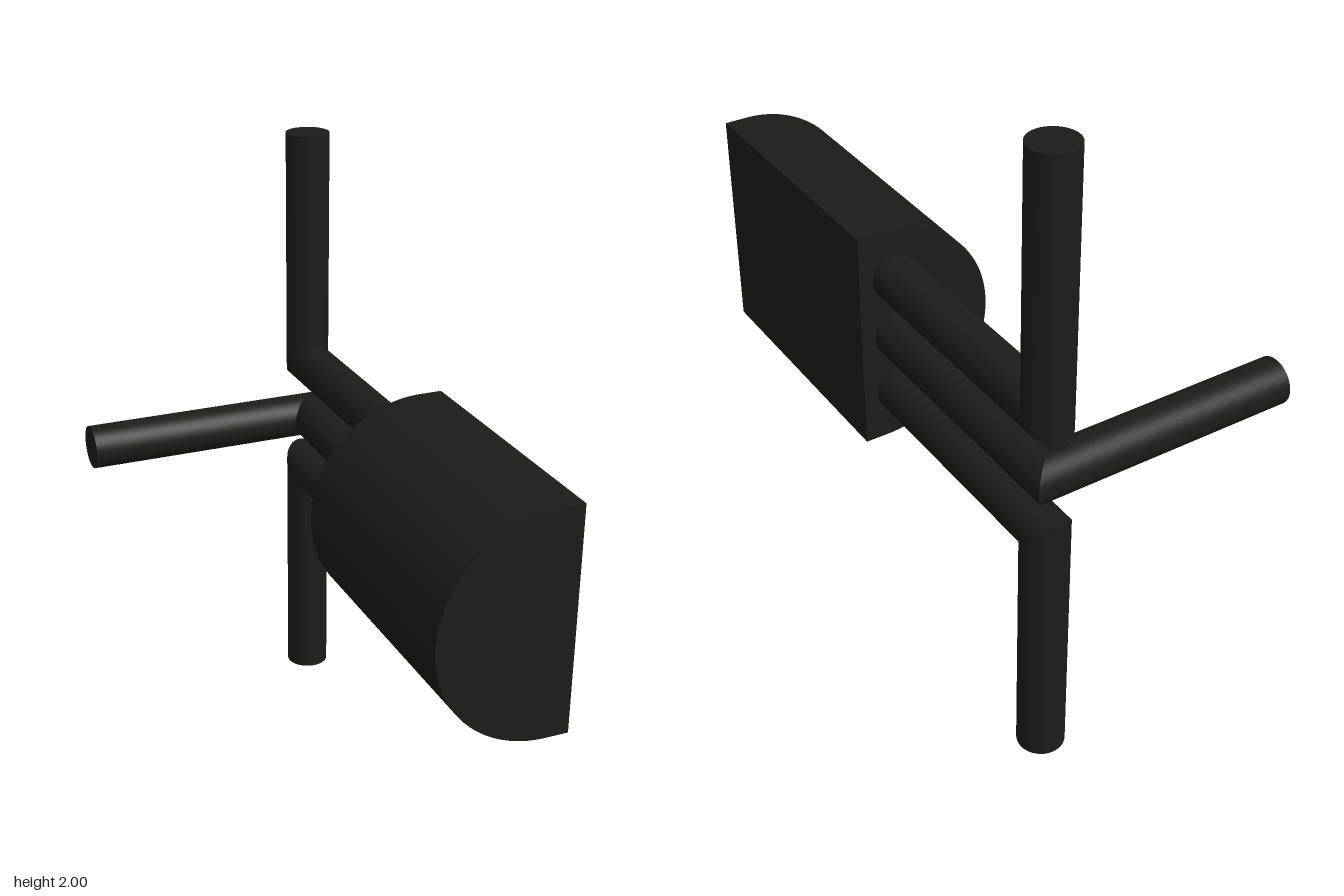
import * as THREE from 'three';
import { mergeGeometries, toCreasedNormals } from 'three/addons/utils/BufferGeometryUtils.js';

const R = 0.0725;   // wire radius
const RUN = 0.7975; // distance from body to bend
const LEG_X = 0.3375;

// Wire running back along -z, mitred at 45 degrees into an arm along +y
function bentWire(armLength) {
  const run = new THREE.CylinderGeometry(R, R, RUN, 40, 1, true);
  run.rotateX(-Math.PI / 2).translate(0, 0, -RUN / 2);
  const p = run.attributes.position;
  for (let i = 0; i < p.count; i++) {
    if (p.getZ(i) < -RUN / 2) p.setZ(i, -RUN + p.getY(i));
  }

  const arm = new THREE.CylinderGeometry(R, R, armLength, 40, 1, true);
  arm.translate(0, armLength / 2, -RUN);
  const q = arm.attributes.position;
  for (let i = 0; i < q.count; i++) {
    if (q.getY(i) < armLength / 2) q.setY(i, q.getZ(i) + RUN);
  }

  // Flat discs closing both ends
  const tip = new THREE.CircleGeometry(R, 40).rotateX(-Math.PI / 2).translate(0, armLength, -RUN);
  const root = new THREE.CircleGeometry(R, 40);
  return mergeGeometries([run, arm, tip, root]);
}

export function createModel() {
  const group = new THREE.Group();
  const material = new THREE.MeshStandardMaterial({ color: 0x1c1c1a });

  // Body: D-shaped section, flat side towards +x
  const r = 0.3625, cx = 0.3825, flat = 0.455;
  const section = new THREE.Shape();
  section.moveTo(flat, 1 - r);
  section.lineTo(flat, 1 + r);
  section.lineTo(cx, 1 + r);
  section.absarc(cx, 1, r, Math.PI / 2, Math.PI * 1.5, false);
  section.closePath();
  const bodyGeometry = new THREE.ExtrudeGeometry(section, {
    depth: 0.87, bevelEnabled: false, curveSegments: 48,
  });
  const body = new THREE.Mesh(toCreasedNormals(bodyGeometry, 0.5), material);
  body.name = 'body';
  group.add(body);

  // Three legs: bent up, to the side and down
  const legs = [
    ['upperLeg', 1.2, 0, 0.8],
    ['middleLeg', 1.0, Math.PI / 2, LEG_X + 0.455],
    ['lowerLeg', 0.8, Math.PI, 0.8],
  ];
  for (const [name, y, turn, armLength] of legs) {
    const leg = new THREE.Mesh(bentWire(armLength), material);
    leg.name = name;
    leg.position.set(LEG_X, y, 0);
    leg.rotation.z = turn;
    group.add(leg);
  }
  return group;
}
